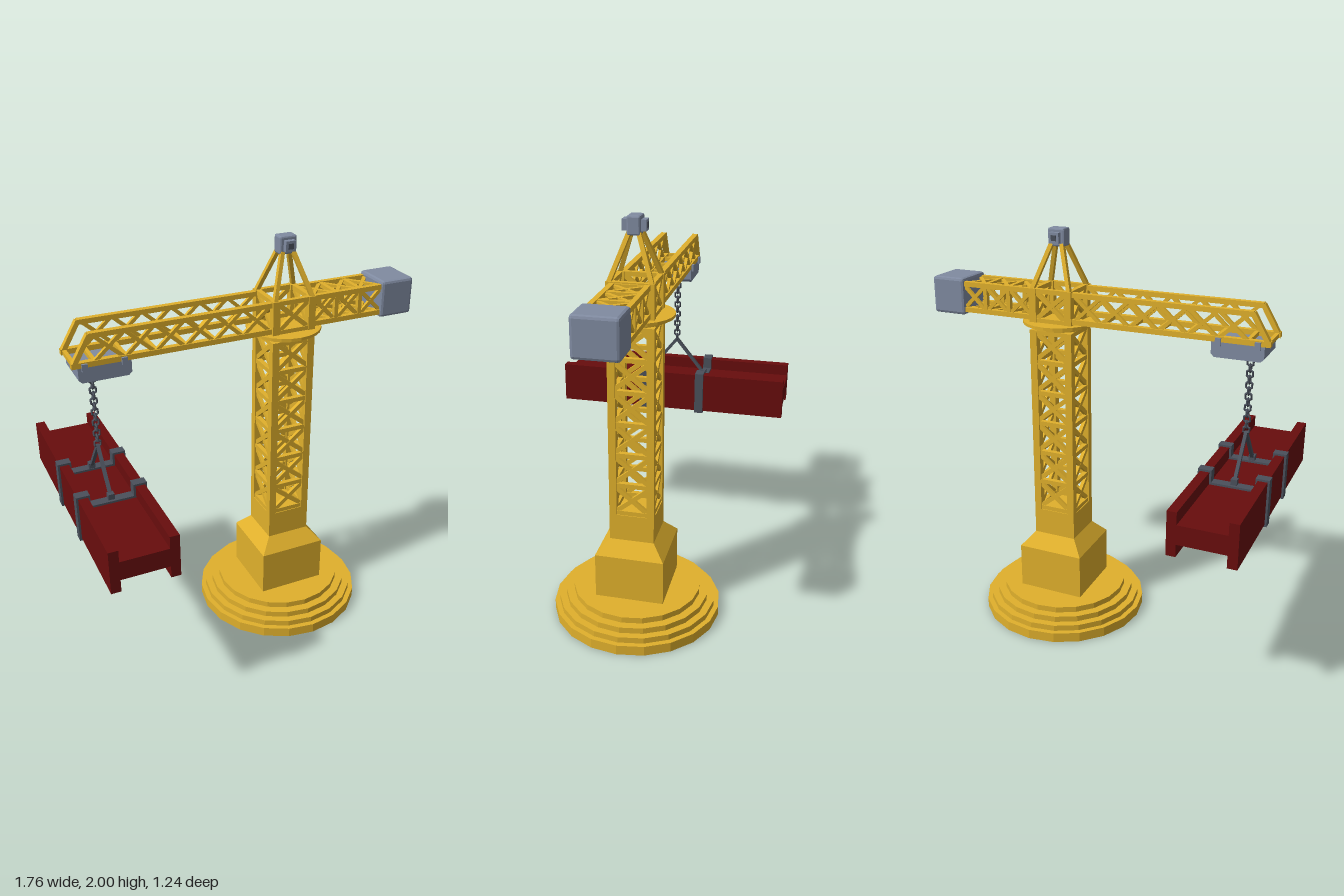
import * as THREE from 'three';
import { RoundedBoxGeometry } from 'three/addons/geometries/RoundedBoxGeometry.js';

const material = (color, side = THREE.FrontSide) =>
  new THREE.MeshStandardMaterial({ color, side, flatShading: true });
const yellow = material(0xe0b02c);
const yellowShell = material(0xe0b02c, THREE.DoubleSide);
const steel = material(0x808ba1);
const dark = material(0x4a505b);
const red = material(0x680d0d);

const V = (x, y, z) => new THREE.Vector3(x, y, z);
const TX = 0.23; // tower axis
const LX = -0.717; // load axis

function group(parent, name) {
  const g = new THREE.Group();
  g.name = name;
  parent.add(g);
  return g;
}

function add(parent, name, geometry, mat, x = 0, y = 0, z = 0) {
  const mesh = new THREE.Mesh(geometry, mat);
  mesh.name = name;
  mesh.position.set(x, y, z);
  parent.add(mesh);
  return mesh;
}

// Square-cut bar from a to b; "up" fixes the direction in which depth d is measured
function bar(parent, name, a, b, w, d, up, mat = yellow) {
  const along = b.clone().sub(a);
  const mesh = add(parent, name, new THREE.BoxGeometry(w, along.length(), d), mat);
  const y = along.clone().normalize();
  const x = y.clone().cross(up).normalize();
  mesh.quaternion.setFromRotationMatrix(new THREE.Matrix4().makeBasis(x, y, x.clone().cross(y)));
  mesh.position.copy(a).add(b).multiplyScalar(0.5);
}

// Two crossing bars across the rectangle with corners p, p+u, p+v, p+u+v
function cross(parent, p, u, v, w, d) {
  const n = u.clone().cross(v).normalize();
  bar(parent, 'brace', p, p.clone().add(u).add(v), w, d, n);
  bar(parent, 'brace', p.clone().add(u), p.clone().add(v), w, d * 0.9, n);
}

// Square lattice mast: corner posts, with rings and crosses on four sides
function mast(parent, half, y0, y1, panels) {
  const post = 0.036, c = half - post / 2, h = (y1 - y0) / panels;
  for (const sx of [-1, 1]) for (const sz of [-1, 1])
    add(parent, 'post', new THREE.BoxGeometry(post, y1 - y0, post), yellow, sx * c, (y0 + y1) / 2, sz * c);
  for (let side = 0; side < 4; side++) {
    const face = group(parent, 'latticeSide');
    face.rotation.y = side * Math.PI / 2;
    const z = half - 0.016;
    for (let i = 0; i <= panels; i++) {
      const y = THREE.MathUtils.clamp(y0 + i * h, y0 + 0.011, y1 - 0.011);
      add(face, 'rail', new THREE.BoxGeometry(2 * c, 0.022, 0.024), yellow, 0, y, z);
      if (i < panels)
        cross(face, V(-c + 0.012, y0 + i * h + 0.014, z), V(2 * c - 0.024, 0, 0), V(0, h - 0.028, 0), 0.022, 0.018);
    }
  }
}

function buildBase(model) {
  const base = group(model, 'base');
  base.position.x = TX;
  // Hollow stepped foot
  const steps = [[0.42, 0], [0.42, 0.05], [0.395, 0.05], [0.395, 0.08], [0.36, 0.08],
    [0.36, 0.11], [0.32, 0.11], [0.32, 0.14], [0, 0.14]];
  const lathe = (pts, n) => new THREE.LatheGeometry(pts.map(p => new THREE.Vector2(...p)), n);
  add(base, 'steppedFoot', lathe(steps, 20), yellowShell);
  // Square pedestal with sloping shoulder
  const r = Math.SQRT2;
  const profile = [[0.17 * r, 0.14], [0.17 * r, 0.37], [0.11 * r, 0.44], [0.11 * r, 0.575], [0, 0.575]];
  add(base, 'pedestal', lathe(profile, 4), yellowShell).rotation.y = Math.PI / 4;
}

function buildTower(model) {
  const tower = group(model, 'tower');
  tower.position.x = TX;
  mast(tower, 0.11, 0.575, 1.525, 6);
  // Turntable
  const disc = (r, y0, y1) => add(tower, 'turntable',
    new THREE.CylinderGeometry(r, r, y1 - y0, 24), yellow, 0, (y0 + y1) / 2, 0);
  disc(0.08, 1.515, 1.54);
  disc(0.15, 1.535, 1.55);
  disc(0.18, 1.55, 1.564);
  mast(tower, 0.11, 1.562, 1.725, 1);
  // Peak: four leaning legs and a cap with a pin
  for (const sx of [-1, 1]) for (const sz of [-1, 1])
    bar(tower, 'peakLeg', V(sx * 0.098, 1.715, sz * 0.098), V(sx * 0.026, 1.93, sz * 0.02), 0.02, 0.02, V(0, 0, 1));
  add(tower, 'peakCap', new RoundedBoxGeometry(0.086, 0.085, 0.062, 1, 0.008), steel, 0, 1.957, 0);
  add(tower, 'peakPinHead', new THREE.BoxGeometry(0.05, 0.05, 0.11), steel, 0, 1.957, 0);
  add(tower, 'peakPin', new THREE.BoxGeometry(0.026, 0.026, 0.114), dark, 0, 1.957, 0);
}

function buildJib(model) {
  const jib = group(model, 'jib');
  const out = V(0, 0, 1), yb = 1.582, yt = 1.709;
  for (const s of [-1, 1]) {
    const z = s * 0.086;
    bar(jib, 'lowerChord', V(0.13, yb, z), V(-0.825, yb, z), 0.025, 0.028, out);
    bar(jib, 'upperChord', V(0.13, yt, z), V(-0.742, yt, z), 0.023, 0.028, out);
    bar(jib, 'slopedEnd', V(-0.815, yb, z), V(-0.738, yt + 0.004, z), 0.022, 0.028, out);
    for (let i = 0; i < 6; i++)
      cross(jib, V(-0.725 + i * 0.14, yb, z), V(0.14, 0, 0), V(0, yt - yb, 0), 0.017, 0.016);
  }
  // Rungs between the lower chords
  for (const x of [-0.81, -0.72, -0.58, -0.44, -0.3, -0.16, -0.02])
    add(jib, 'rung', new THREE.BoxGeometry(0.018, 0.02, 0.16), yellow, x, yb, 0);
}

function buildCounterJib(model) {
  const arm = group(model, 'counterJib');
  const yb = 1.582, yt = 1.709, x0 = 0.335, pitch = 0.128, n = 3, zc = 0.08;
  for (const s of [-1, 1]) {
    for (const y of [yb, yt])
      add(arm, 'chord', new THREE.BoxGeometry(0.4, 0.024, 0.024), yellow, x0 + 0.19, y, s * zc);
    for (let i = 0; i <= n; i++)
      add(arm, 'upright', new THREE.BoxGeometry(0.02, yt - yb, 0.022), yellow, x0 + i * pitch, (yb + yt) / 2, s * zc);
  }
  for (let i = 0; i <= n; i++) {
    const x = x0 + i * pitch;
    for (const y of [yb, yt]) {
      add(arm, 'crossRail', new THREE.BoxGeometry(0.02, 0.02, 2 * zc), yellow, x, y, 0);
      if (i < n) cross(arm, V(x, y, -zc), V(pitch, 0, 0), V(0, 0, 2 * zc), 0.018, 0.014);
    }
    if (i < n) for (const s of [-1, 1])
      cross(arm, V(x, yb, s * zc), V(pitch, 0, 0), V(0, yt - yb, 0), 0.018, 0.014);
  }
  add(arm, 'counterweight', new RoundedBoxGeometry(0.175, 0.182, 0.205, 1, 0.014), steel, 0.7925, 1.646, 0);
}

function buildTrolley(model) {
  const trolley = group(model, 'trolley');
  // Body with chamfered lower edges
  const s = new THREE.Shape([[-0.12, 0.07], [-0.12, 0.015], [-0.105, 0], [0.105, 0], [0.12, 0.015], [0.12, 0.07]]
    .map(p => new THREE.Vector2(...p)));
  add(trolley, 'trolleyBody', new THREE.ExtrudeGeometry(s, { depth: 0.2, bevelEnabled: false }), steel, -0.68, 1.5, -0.1);
  for (const x of [-0.77, -0.592]) for (const z of [-0.104, 0.104])
    add(trolley, 'chordClip', new THREE.BoxGeometry(0.026, 0.035, 0.012), steel, x, 1.572, z);
  add(trolley, 'chainAnchor', new THREE.CylinderGeometry(0.024, 0.016, 0.025, 8), steel, LX, 1.49, 0);
  // Chain of alternating links
  const chain = group(model, 'chain');
  const link = new THREE.TorusGeometry(0.016, 0.0055, 4, 6).rotateZ(Math.PI / 6).scale(1, 1.2, 1);
  for (let i = 0; i < 13; i++)
    add(chain, 'chainLink', link, dark, LX, 1.465 - i * 0.027, 0).rotation.y = (i % 2) * Math.PI / 2;
}

// I section on its side, grown outward by g
function beamSection(g) {
  const X = 0.157 + g, x = 0.112 - g, Y = 0.105 + g, y = 0.046 + g;
  return new THREE.Shape([[-X, -Y], [-x, -Y], [-x, -y], [x, -y], [x, -Y], [X, -Y],
    [X, Y], [x, Y], [x, y], [-x, y], [-x, Y], [-X, Y]].map(p => new THREE.Vector2(...p)));
}

function buildLoad(model) {
  const load = group(model, 'load');
  load.position.set(LX, 0.875, 0);
  const slab = (name, g, depth, z, mat) => add(load, name,
    new THREE.ExtrudeGeometry(beamSection(g), { depth, bevelEnabled: false }), mat, 0, 0, z - depth / 2);
  slab('beam', 0, 1.235, 0, red);
  for (const s of [-1, 1]) {
    slab('clamp', 0.01, 0.046, s * 0.158, dark);
    // Sling legs rising to the chain
    bar(load, 'slingLeg', V(0, 0.06, s * 0.158), V(0, 0.255, 0), 0.016, 0.016, V(1, 0, 0), dark);
    add(load, 'slingFoot', new THREE.BoxGeometry(0.03, 0.035, 0.03), dark, 0, 0.066, s * 0.153);
  }
}

export function createModel() {
  const model = new THREE.Group();
  model.name = 'towerCrane';
  buildBase(model);
  buildTower(model);
  buildJib(model);
  buildCounterJib(model);
  buildTrolley(model);
  buildLoad(model);
  return model;
}
